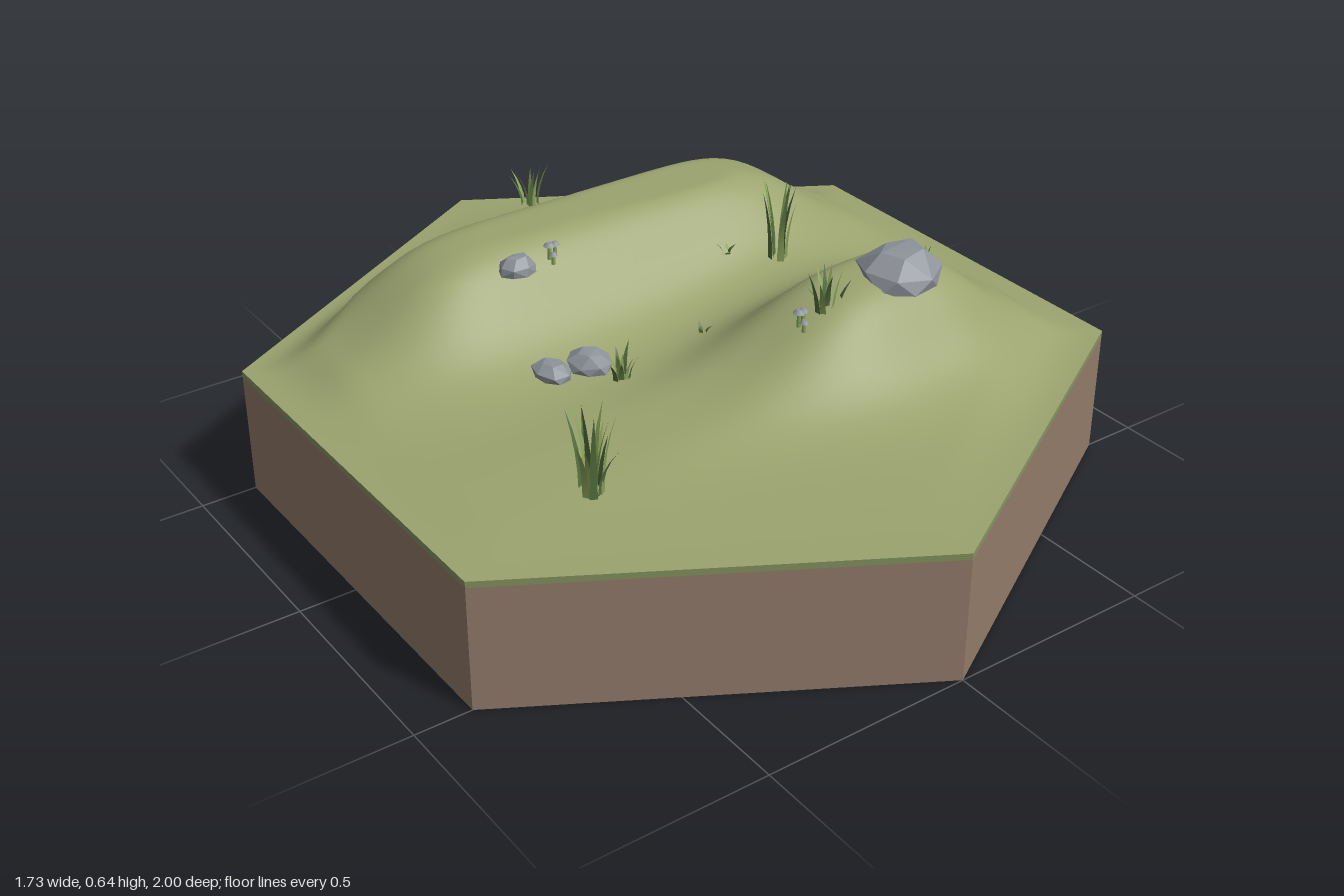
import * as THREE from 'three';
import { mergeGeometries } from 'three/addons/utils/BufferGeometryUtils.js';
import { ConvexGeometry } from 'three/addons/geometries/ConvexGeometry.js';

const mat = (name, color, extra = {}) => Object.assign(new THREE.MeshStandardMaterial({ color, ...extra }), { name });
const BASE = 0.315;

// Small seeded generator
function seeded(seed) {
  let s = seed * 7919 + 17;
  return () => (s = (s * 16807) % 2147483647) / 2147483647;
}

// Rounded plateau falling off around zero
const hump = (d, w, n) => 1 / (1 + Math.pow(Math.abs(d) / w, n));

// Ground height: a long back ridge, a front hill and a low saddle between them
function ground(x, z) {
  const edge = Math.min(0.866 - Math.abs(x), 0.866 - Math.abs(x) * 0.5 - Math.abs(z) * 0.866);
  const fade = THREE.MathUtils.smoothstep(edge, 0, 0.16);
  const ridge = 0.245 * hump(x, 0.6, 7) * hump(z + 0.355, 0.2, 3.4);
  const hill = 0.225 * hump(x - 0.38, x < 0.38 ? 0.37 : 0.25, 3.3) * hump(z - 0.28, 0.18, 3.3);
  const saddle = 0.025 * Math.exp(-((x - 0.42) ** 2 + (z + 0.04) ** 2) / 0.03);
  return BASE + fade * Math.min(0.242, ridge + hill + saddle);
}

// Hexagonal ground surface made of nested rings
function groundGeometry(rings = 48, perSide = 24) {
  const pos = [], idx = [], cols = perSide * 6;
  const corner = k => [Math.sin(k * Math.PI / 3), Math.cos(k * Math.PI / 3)];
  for (let i = 0; i <= rings; i++) {
    for (let j = 0; j <= cols; j++) {
      const k = Math.floor(j / perSide), f = (j % perSide) / perSide, t = i / rings;
      const a = corner(k), b = corner(k + 1);
      const x = t * (a[0] + (b[0] - a[0]) * f), z = t * (a[1] + (b[1] - a[1]) * f);
      pos.push(x, ground(x, z), z);
      if (i < rings && j < cols) {
        const p = i * (cols + 1) + j, q = p + cols + 1;
        if (i > 0) idx.push(p, q, p + 1);
        idx.push(q, q + 1, p + 1);
      }
    }
  }
  const g = new THREE.BufferGeometry();
  g.setAttribute('position', new THREE.Float32BufferAttribute(pos, 3));
  g.setIndex(idx);
  g.computeVertexNormals();
  return g;
}

// Faceted boulder with a flat bottom
function rockGeometry(w, h, d, seed) {
  const rnd = seeded(seed), pts = [];
  for (const [y, r, n] of [[0, 0.95, 8], [0.4, 0.98, 7], [0.88, 0.52, 5]]) {
    const turn = rnd() * 6;
    for (let i = 0; i < n; i++) {
      const a = turn + (i / n) * Math.PI * 2, k = r * (0.9 + rnd() * 0.16);
      const lift = y ? (rnd() - 0.4) * 0.2 : 0;
      pts.push(new THREE.Vector3(Math.cos(a) * k * w / 2, (y + lift) * h, Math.sin(a) * k * d / 2));
    }
  }
  return new ConvexGeometry(pts);
}

// Curved tapering grass blade
function bladeGeometry(x, z, h, lean, width, a) {
  const pos = [], idx = [], steps = 4, dx = Math.cos(a), dz = Math.sin(a);
  for (let i = 0; i <= steps; i++) {
    const t = i / steps, out = lean * t * t, hw = width * 0.5 * (1 - t * t);
    for (const s of [-1, 1]) pos.push(x + dx * out - dz * hw * s, h * t, z + dz * out + dx * hw * s);
    if (i < steps) idx.push(2 * i, 2 * i + 2, 2 * i + 1, 2 * i + 1, 2 * i + 2, 2 * i + 3);
  }
  const g = new THREE.BufferGeometry();
  g.setAttribute('position', new THREE.Float32BufferAttribute(pos, 3));
  g.setIndex(idx);
  g.computeVertexNormals();
  return g;
}

export function createModel() {
  const model = new THREE.Group();
  model.name = 'hillTile';
  const soil = mat('soil', 0x917b69);
  const turf = mat('turf', 0x9ba36f);
  const rim = mat('turfEdge', 0x84925f);
  const stone = mat('stone', 0x8f949b);
  const darkGrass = mat('darkGrass', 0x56703f, { side: THREE.DoubleSide });
  const lightGrass = mat('lightGrass', 0x8aa259, { side: THREE.DoubleSide });

  function add(name, geometry, material, x = 0, y = 0, z = 0, parent = model) {
    const m = new THREE.Mesh(geometry, material);
    m.name = name;
    m.position.set(x, y, z);
    parent.add(m);
    return m;
  }

  // Hexagonal block, turf edge and hills
  const soilBlock = new THREE.CylinderGeometry(1, 1, 0.3, 6).toNonIndexed();
  soilBlock.computeVertexNormals();
  add('soilBlock', soilBlock, soil, 0, 0.15, 0);
  const strip = new THREE.CylinderGeometry(1, 1, 0.015, 6, 1, true).toNonIndexed();
  strip.computeVertexNormals();
  add('turfEdge', strip, rim, 0, 0.3075, 0);
  add('hills', groundGeometry(), turf);

  // Boulders: x, y, z, width, height, depth
  [
    [0.39, 0.52, 0.31, 0.21, 0.078, 0.2],
    [-0.3, 0.522, -0.21, 0.09, 0.042, 0.075],
    [-0.345, 0.367, 0, 0.09, 0.034, 0.11],
    [-0.4, 0.52, 0.24, 0.1, 0.037, 0.11],
  ].forEach(([x, y, z, w, h, d], i) => add('boulder' + (i + 1), rockGeometry(w, h, d, i + 3), stone, x, y, z));

  // Grass clumps: x, y, z, height, spread, blade count, blade width
  [
    [-0.5, 0.325, 0.39, 0.23, 0.055, 14, 0.017],
    [-0.21, 0.345, 0.07, 0.1, 0.035, 9, 0.014],
    [-0.1, 0.53, -0.48, 0.105, 0.035, 8, 0.012],
    [0.35, 0.425, -0.08, 0.22, 0.05, 10, 0.017],
    [0.175, 0.485, 0.31, 0.135, 0.05, 10, 0.016],
    [0.485, 0.48, 0.275, 0.08, 0.02, 6, 0.012],
    [0.24, 0.44, -0.14, 0.03, 0.025, 4, 0.014],
    [0.02, 0.385, 0.06, 0.025, 0.02, 3, 0.01],
  ].forEach(([x, y, z, h, spread, count, width], c) => {
    const rnd = seeded(c + 31), sets = [[], []];
    const clump = new THREE.Group();
    clump.name = 'grassClump' + (c + 1);
    clump.position.set(x, y, z);
    for (let i = 0; i < count; i++) {
      const a = (i / count) * Math.PI * 2 + rnd(), r = spread * 0.6 * rnd();
      sets[i % 2].push(bladeGeometry(Math.cos(a) * r, Math.sin(a) * r,
        h * (0.5 + 0.5 * rnd()), spread * (0.4 + 0.6 * rnd()), width, a));
    }
    add('darkBlades', mergeGeometries(sets[0]), darkGrass, 0, 0, 0, clump);
    add('lightBlades', mergeGeometries(sets[1]), lightGrass, 0, 0, 0, clump);
    model.add(clump);
  });

  // Little mushrooms in two groups: x, z, ground height
  [[-0.205, -0.225, 0.52], [0.1, 0.31, 0.485]].forEach(([x, z, y], i) => {
    const patch = new THREE.Group();
    patch.name = 'mushrooms' + (i + 1);
    patch.position.set(x, y, z);
    for (const [dx, dz, h, r] of [[0, 0, 0.038, 0.015], [0.022, -0.012, 0.03, 0.012], [-0.006, 0.026, 0.026, 0.011]]) {
      add('stem', new THREE.CylinderGeometry(0.004, 0.005, h, 6), lightGrass, dx, h / 2, dz, patch);
      add('cap', new THREE.CylinderGeometry(r * 0.45, r, 0.008, 7), stone, dx, h, dz, patch);
    }
    model.add(patch);
  });
  return model;
}
